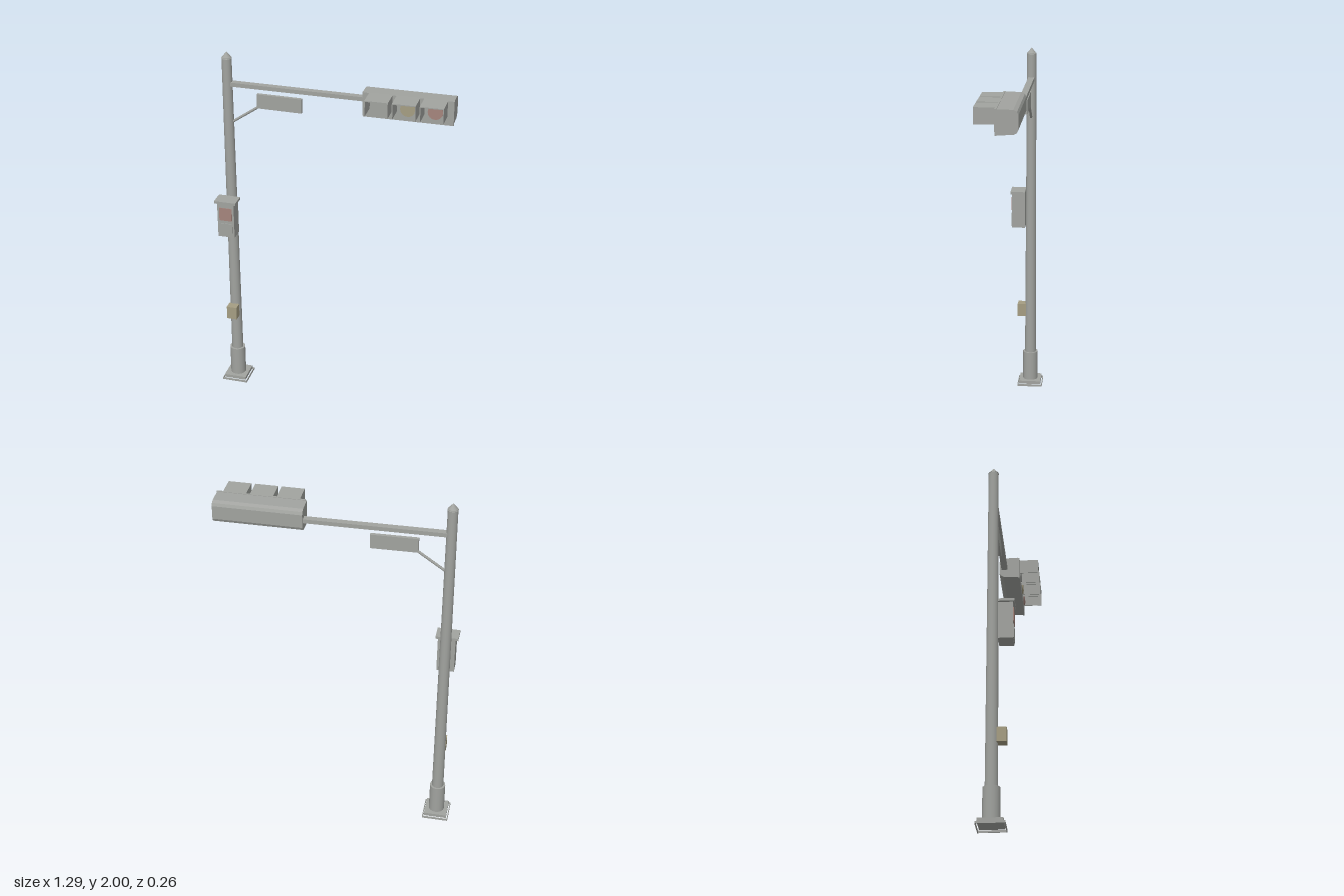
import * as THREE from 'three';

const PX = -0.57, PZ = -0.056; // pole axis

export function createModel() {
  const root = new THREE.Group();
  root.name = 'trafficSignalPole';

  const mat = (name, color) => {
    const m = new THREE.MeshStandardMaterial({ color });
    m.name = name;
    return m;
  };
  const grey = mat('grey metal', 0xa1a39f);
  const red = mat('dull red', 0xa4857d);
  const yellow = mat('dull yellow', 0xa59d82);

  const add = (name, geo, material, x, y, z, parent = root) => {
    const m = new THREE.Mesh(geo, material);
    m.name = name;
    m.position.set(x, y, z);
    parent.add(m);
    return m;
  };
  // Box given by its extents on each axis
  const box = (name, material, [x0, x1], [y0, y1], [z0, z1], parent) =>
    add(name, new THREE.BoxGeometry(x1 - x0, y1 - y0, z1 - z0), material,
      (x0 + x1) / 2, (y0 + y1) / 2, (z0 + z1) / 2, parent);
  const post = (name, rTop, rBottom, y0, y1) =>
    add(name, new THREE.CylinderGeometry(rTop, rBottom, y1 - y0, 16), grey, PX, (y0 + y1) / 2, PZ);

  // Foot, sleeve, tapered pole and pointed cap
  box('basePlate', grey, [PX - 0.063, PX + 0.063], [0.012, 0.03], [PZ - 0.063, PZ + 0.063]);
  for (const s of [-1, 1]) {
    box('baseRim', grey, [PX - 0.072, PX + 0.072], [0, 0.012], [PZ + s * 0.07 - 0.002, PZ + s * 0.07 + 0.002]);
    box('baseRim', grey, [PX + s * 0.07 - 0.002, PX + s * 0.07 + 0.002], [0, 0.012], [PZ - 0.072, PZ + 0.072]);
  }
  post('sleeve', 0.043, 0.043, 0.03, 0.2);
  post('pole', 0.026, 0.032, 0.2, 1.97);
  add('poleCap', new THREE.ConeGeometry(0.028, 0.035, 16), grey, PX, 1.9825, PZ);

  // Horizontal arm
  const arm = box('arm', grey, [-0.56, 0.18], [1.813, 1.835], [PZ - 0.017, PZ + 0.017]);
  arm.rotation.z = -0.005;

  // Street sign panel and its diagonal brace
  const sign = box('signPanel', grey, [-0.41, -0.165], [1.704, 1.782], [PZ - 0.009, PZ + 0.009]);
  sign.rotation.z = -0.01;
  const a = new THREE.Vector3(-0.55, 1.61, PZ), b = new THREE.Vector3(-0.39, 1.72, PZ);
  add('signBrace', new THREE.TubeGeometry(new THREE.LineCurve3(a, b), 1, 0.007, 8), grey, 0, 0, 0);

  // Signal head: side profile with bevelled back corners, swept along x
  const head = new THREE.Group();
  head.name = 'signalHead';
  root.add(head);
  const profile = new THREE.Shape([
    [-0.022, 1.762], [0.06, 1.765], [0.078, 1.775], [0.085, 1.79],
    [0.085, 1.862], [0.078, 1.877], [0.06, 1.886], [-0.022, 1.888],
  ].map(([x, y]) => new THREE.Vector2(x, y)));
  const housing = add('housing',
    new THREE.ExtrudeGeometry(profile, { depth: 0.466, bevelEnabled: false }), grey, 0.174, 0, 0, head);
  housing.rotation.y = Math.PI / 2; // profile x becomes -z
  box('frontFrame', grey, [0.18, 0.643], [1.76, 1.89], [0.02, 0.03], head);

  // Lenses with open-fronted hoods
  [[0.27, grey], [0.41, yellow], [0.55, red]].forEach(([x, material]) => {
    const lens = add('lens', new THREE.CylinderGeometry(0.039, 0.039, 0.008, 16), material, x, 1.825, 0.033, head);
    lens.rotation.x = Math.PI / 2;
    box('hoodTop', grey, [x - 0.06, x + 0.06], [1.885, 1.89], [0.029, 0.135], head);
    for (const s of [-1, 1]) {
      box('hoodSide', grey, [x + s * 0.058 - 0.002, x + s * 0.058 + 0.002], [1.807, 1.886], [0.029, 0.135], head);
    }
  });

  // Pedestrian signal
  const ped = new THREE.Group();
  ped.name = 'pedestrianSignal';
  root.add(ped);
  box('pedestrianHousing', grey, [-0.618, -0.525], [0.97, 1.172], [-0.025, 0.05], ped);
  box('pedestrianRoof', grey, [-0.632, -0.512], [1.17, 1.184], [-0.025, 0.058], ped);
  box('stopPanel', red, [-0.607, -0.536], [1.07, 1.145], [0.049, 0.054], ped);
  box('walkPanel', grey, [-0.607, -0.536], [0.977, 1.052], [0.049, 0.054], ped);

  // Push-button box
  box('buttonBox', yellow, [-0.6, -0.543], [0.425, 0.5], [-0.03, 0.018]);

  return root;
}
